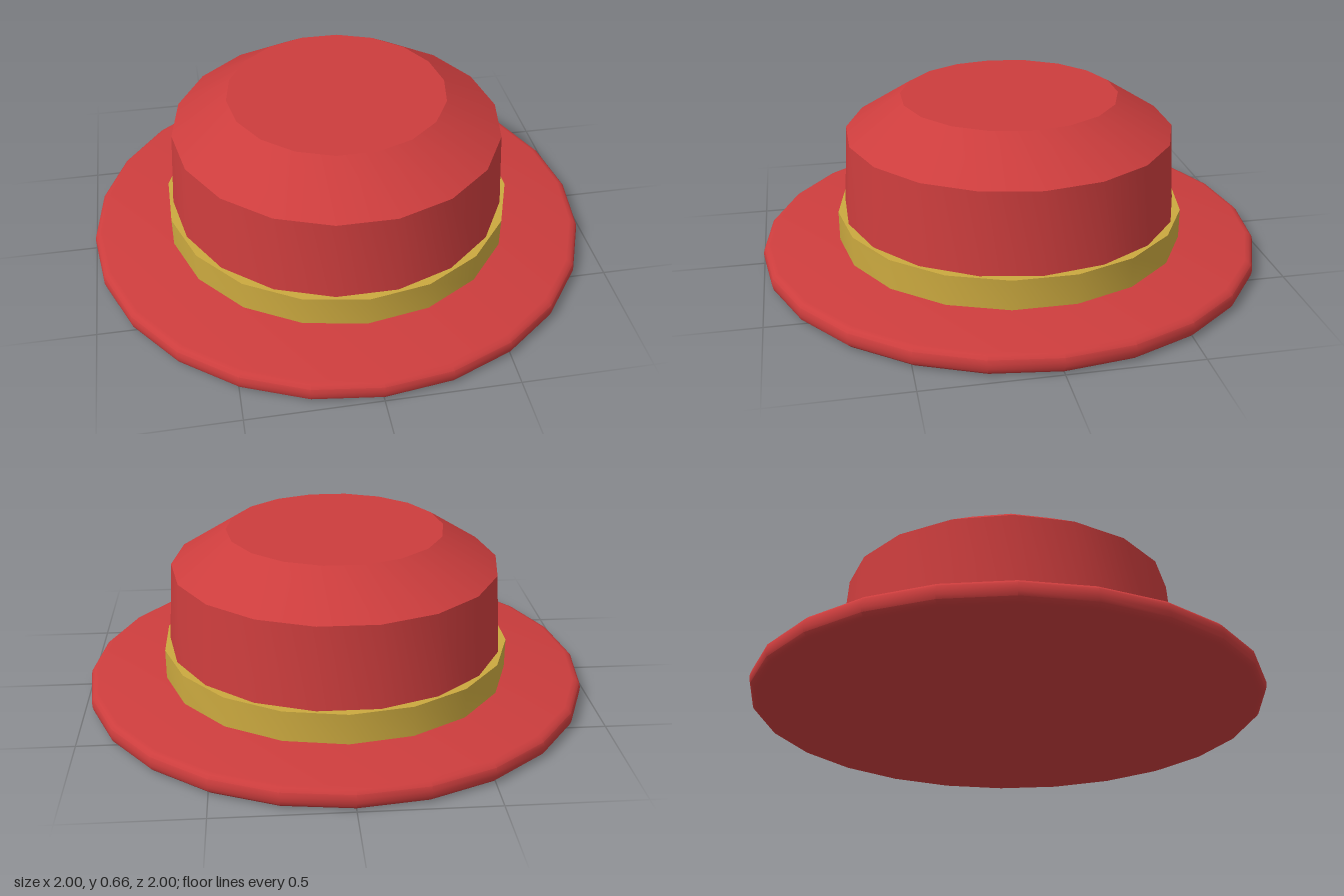
import * as THREE from 'three';
import { toCreasedNormals } from 'three/addons/utils/BufferGeometryUtils.js';

const red = new THREE.MeshStandardMaterial({ color: 0xcc3d3d });
red.name = 'red felt';
const gold = new THREE.MeshStandardMaterial({ color: 0xcba93f });
gold.name = 'gold ribbon';

// Turned part from a bottom-to-top profile of [radius, height]
function turned(name, profile, sides, material) {
  const points = profile.map(([r, y]) => new THREE.Vector2(r, y));
  const geometry = toCreasedNormals(new THREE.LatheGeometry(points, sides), 0.56);
  const mesh = new THREE.Mesh(geometry, material);
  mesh.name = name;
  return mesh;
}

export function createModel() {
  const hat = new THREE.Group();
  hat.name = 'hat';

  // Flat brim with a rounded edge
  const height = 0.08, edge = 0.032, steps = 3;
  const brimProfile = [[0, 0]];
  for (const [centreY, start] of [[edge, -Math.PI / 2], [height - edge, 0]]) {
    for (let i = 0; i <= steps; i++) {
      const a = start + (i / steps) * Math.PI / 2;
      brimProfile.push([1 - edge + edge * Math.cos(a), centreY + edge * Math.sin(a)]);
    }
  }
  brimProfile.push([0, height]);
  hat.add(turned('brim', brimProfile, 24, red));

  // Tapered crown with a bevelled top, turned so its corners lie on the x axis
  const crown = turned('crown', [[0.68, 0.06], [0.65, 0.52], [0.43, 0.66], [0, 0.66]], 18, red);
  crown.rotation.y = Math.PI / 2;
  hat.add(crown);

  // Ribbon around the foot of the crown
  hat.add(turned('band', [[0.695, 0.07], [0.695, 0.2], [0.6, 0.2]], 18, gold));

  return hat;
}
